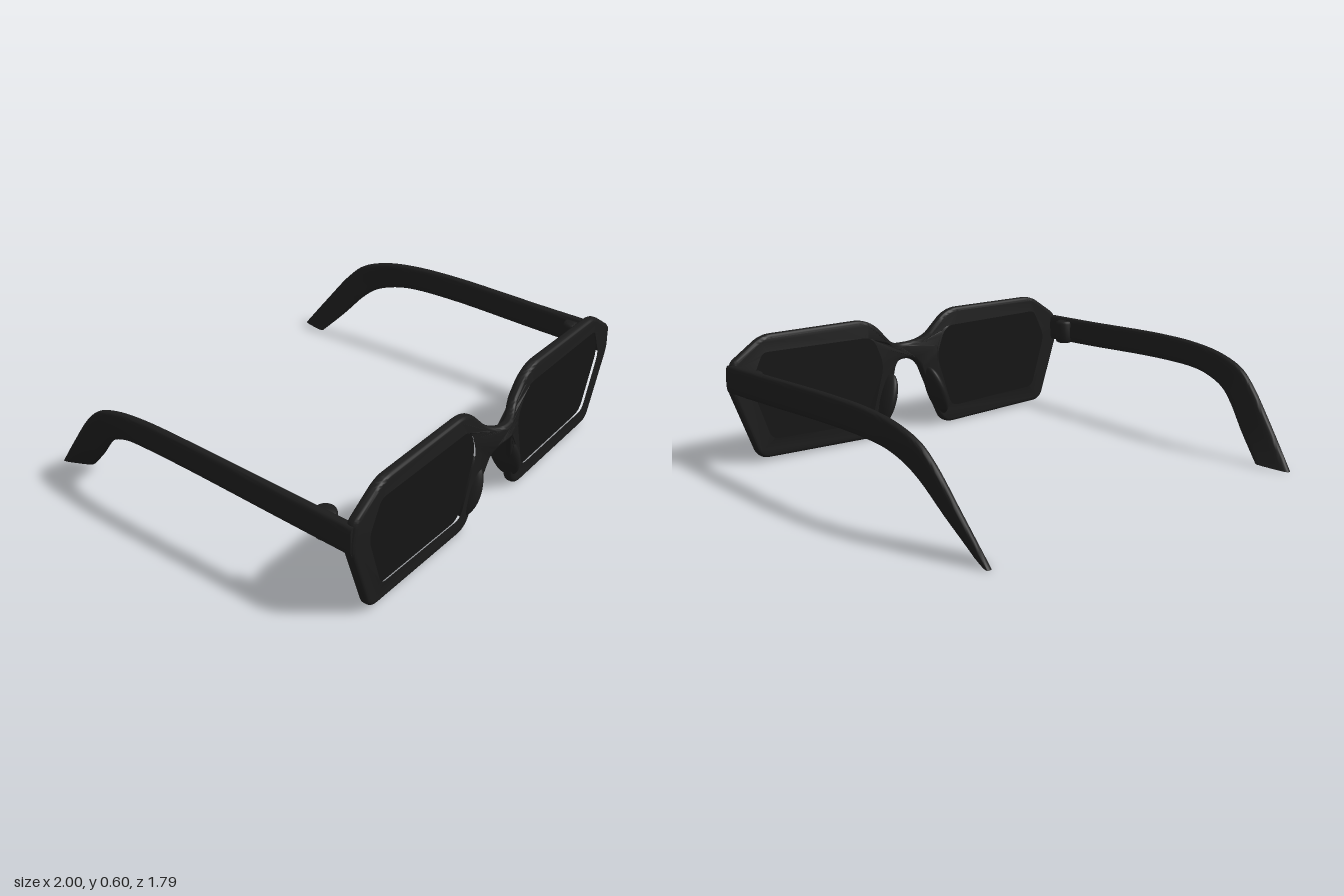
import * as THREE from 'three';
import { toCreasedNormals } from 'three/addons/utils/BufferGeometryUtils.js';

const frameMat = new THREE.MeshStandardMaterial({ color: 0x1c1c1c });
const lensMat = new THREE.MeshStandardMaterial({ color: 0x141414 });

// Closed path through [x, y, cornerRadius] points with softened corners
function roundedPath(points, path) {
  const n = points.length;
  const toward = (a, b) => {
    const d = Math.hypot(b[0] - a[0], b[1] - a[1]);
    return [a[0] + ((b[0] - a[0]) * a[2]) / d, a[1] + ((b[1] - a[1]) * a[2]) / d];
  };
  points.forEach((p, i) => {
    const a = toward(p, points[(i + n - 1) % n]);
    const b = toward(p, points[(i + 1) % n]);
    if (i === 0) path.moveTo(...a);
    else path.lineTo(...a);
    path.quadraticCurveTo(p[0], p[1], ...b);
  });
  path.closePath();
  return path;
}

const mirrorPoints = (pts) => pts.map(([x, y, r]) => [-x, y, r]).reverse();

// Half outline of the front, from the bridge top round to the bridge underside
const halfOutline = [
  [0.08, 0.447, 0.07], [0.235, 0.602, 0.08], [0.82, 0.6, 0.05], [0.982, 0.492, 0.025],
  [1.0, 0.37, 0.04], [0.872, 0.022, 0.05], [0.19, 0.003, 0.07], [0.06, 0.364, 0.055],
];
const lensOutline = [
  [0.21, 0.532, 0.07], [0.84, 0.54, 0.04], [0.918, 0.38, 0.05],
  [0.82, 0.09, 0.05], [0.235, 0.07, 0.06], [0.145, 0.37, 0.06],
];

// Slight forward lean of the front, plus the bridge arching forward
const lean = (y) => (y - 0.3) * 0.025;
function bend(geo) {
  const p = geo.attributes.position;
  for (let i = 0; i < p.count; i++) {
    const x = Math.abs(p.getX(i));
    const arch = x < 0.17 ? 0.052 * Math.cos((x / 0.17) * Math.PI / 2) ** 2 : 0;
    const high = THREE.MathUtils.smoothstep(p.getY(i), 0.15, 0.36);
    p.setZ(i, p.getZ(i) + lean(p.getY(i)) + arch * high);
  }
  return geo;
}

function frontGeometry() {
  const shape = roundedPath([...halfOutline, ...mirrorPoints(halfOutline)], new THREE.Shape());
  for (const pts of [lensOutline, mirrorPoints(lensOutline)]) {
    shape.holes.push(roundedPath(pts, new THREE.Path()));
  }
  const geo = new THREE.ExtrudeGeometry(shape, {
    depth: 0.012, bevelThickness: 0.018, bevelSize: 0.018, bevelOffset: -0.018,
    bevelSegments: 5, curveSegments: 12,
  });
  geo.translate(0, 0, 0.812);
  return toCreasedNormals(bend(geo), 0.7);
}

function lensGeometry(side) {
  const pts = side > 0 ? lensOutline : mirrorPoints(lensOutline);
  const geo = new THREE.ExtrudeGeometry(roundedPath(pts, new THREE.Shape()), {
    depth: 0.012, bevelEnabled: false, curveSegments: 12,
  });
  geo.translate(0, 0, 0.812);
  const p = geo.attributes.position;
  for (let i = 0; i < p.count; i++) p.setZ(i, p.getZ(i) + lean(p.getY(i)));
  geo.computeVertexNormals();
  return geo;
}

// Upper and lower edges of an arm, front to tip, with its thickness
const v = (a) => new THREE.Vector3(...a);
const armTop = [
  [0.975, 0.48, 0.835], [0.97, 0.487, 0.5], [0.965, 0.5, 0], [0.955, 0.493, -0.25],
  [0.945, 0.468, -0.42], [0.935, 0.42, -0.55], [0.925, 0.35, -0.63],
  [0.905, 0.18, -0.765], [0.882, 0.005, -0.897],
].map(v);
const armBottom = [
  [0.975, 0.35, 0.835], [0.97, 0.358, 0.5], [0.965, 0.375, 0], [0.955, 0.37, -0.25],
  [0.94, 0.352, -0.36], [0.925, 0.315, -0.455], [0.905, 0.26, -0.525],
  [0.87, 0.14, -0.63], [0.834, 0.02, -0.745],
].map(v);
const armWidth = [0.05, 0.045, 0.042, 0.042, 0.042, 0.042, 0.042, 0.04, 0.034];

// Loft of rounded oblong sections between the two edges
function armGeometry(side) {
  const top = new THREE.CatmullRomCurve3(armTop);
  const bottom = new THREE.CatmullRomCurve3(armBottom);
  const steps = 48, ring = 24, pos = [], index = [];
  const soft = (c) => Math.sign(c) * Math.abs(c) ** 0.55;
  for (let j = 0; j <= steps; j++) {
    const t = j / steps, k = Math.min(t * 8, 7.9999), f = Math.floor(k);
    const w = THREE.MathUtils.lerp(armWidth[f], armWidth[f + 1], k - f) / 2;
    const T = top.getPoint(t), B = bottom.getPoint(t);
    const C = T.clone().add(B).multiplyScalar(0.5), H = T.clone().sub(C);
    for (let i = 0; i < ring; i++) {
      const a = (side * i * Math.PI * 2) / ring, s = soft(Math.sin(a));
      pos.push(side * (C.x + H.x * s + w * soft(Math.cos(a))), C.y + H.y * s, C.z + H.z * s);
    }
  }
  for (let j = 0; j < steps; j++) {
    for (let i = 0; i < ring; i++) {
      const a = j * ring + i, b = j * ring + ((i + 1) % ring);
      index.push(a, a + ring, b, b, a + ring, b + ring);
    }
  }
  // End caps
  const last = steps * ring;
  for (let i = 1; i < ring - 1; i++) {
    index.push(0, i, i + 1, last, last + i + 1, last + i);
  }
  const geo = new THREE.BufferGeometry();
  geo.setAttribute('position', new THREE.Float32BufferAttribute(pos, 3));
  geo.setIndex(index);
  return toCreasedNormals(geo, 0.9);
}

// Upright hinge barrel with rounded rims
function hingeGeometry() {
  const profile = [
    [0, 0.352], [0.034, 0.352], [0.042, 0.356], [0.046, 0.366],
    [0.046, 0.456], [0.042, 0.466], [0.034, 0.47], [0, 0.47],
  ].map(([x, y]) => new THREE.Vector2(x, y));
  return toCreasedNormals(new THREE.LatheGeometry(profile, 24), 0.9);
}

export function createModel() {
  const group = new THREE.Group();
  const add = (name, geo, mat = frameMat) => {
    const mesh = new THREE.Mesh(geo, mat);
    mesh.name = name;
    group.add(mesh);
    return mesh;
  };

  add('frontFrame', frontGeometry());
  for (const [label, side] of [['left', 1], ['right', -1]]) {
    add(label + 'Lens', lensGeometry(side), lensMat);
    add(label + 'Arm', armGeometry(side));
    add(label + 'Hinge', hingeGeometry()).position.set(side * 0.947, 0, 0.68);
    const pad = add(label + 'NosePad', new THREE.SphereGeometry(1, 24, 16));
    pad.scale.set(0.036, 0.135, 0.075);
    pad.position.set(side * 0.157, 0.185, 0.8);
    pad.rotation.z = side * 0.33;
  }
  return group;
}
